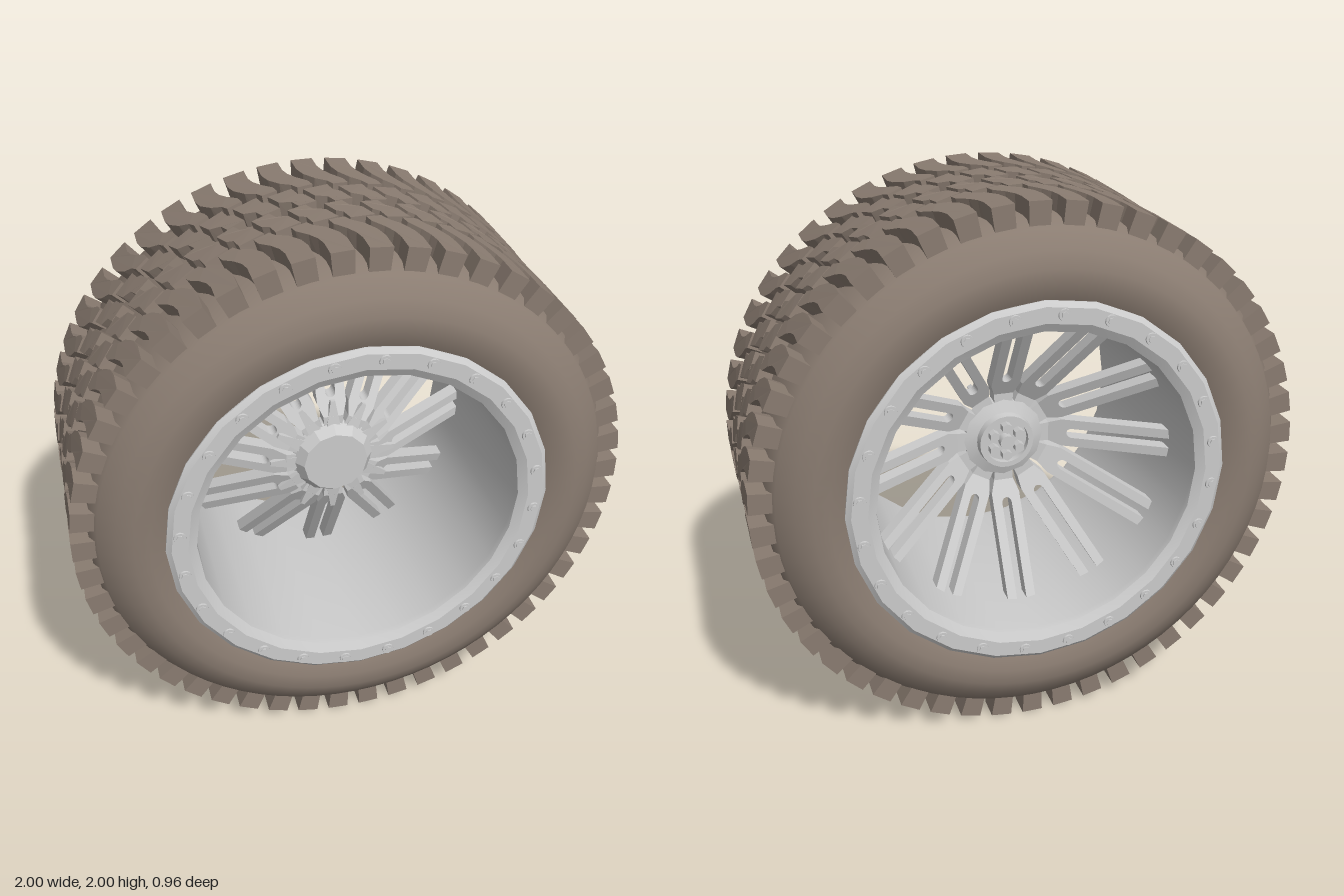
import * as THREE from 'three';
import { mergeGeometries, toCreasedNormals } from 'three/addons/utils/BufferGeometryUtils.js';

const V = (x, y) => new THREE.Vector2(x, y);

const rubber = new THREE.MeshStandardMaterial({ color: 0x8a7c71 });
const metal = new THREE.MeshStandardMaterial({ color: 0xcccccc });
const metalOpen = new THREE.MeshStandardMaterial({ color: 0xcccccc, side: THREE.DoubleSide });

// Lathe about the z axle from [radius, z] points
function axleLathe(points, segments, crease) {
  const g = new THREE.LatheGeometry(points.map(([r, z]) => V(r, z)), segments);
  g.rotateX(Math.PI / 2);
  return toCreasedNormals(g, crease);
}

// Copies of a geometry spread evenly around the axle
function ring(geometry, count, start = 0) {
  const copies = [];
  for (let i = 0; i < count; i++) {
    copies.push(geometry.clone().rotateZ(start + (i * 2 * Math.PI) / count));
  }
  return mergeGeometries(copies);
}

function addMesh(parent, name, geometry, material) {
  const mesh = new THREE.Mesh(geometry, material);
  mesh.name = name;
  parent.add(mesh);
  return mesh;
}

// Tread block: outline in (around, across), raised and bent onto the tyre
function treadBlock(outline, base, top) {
  const shape = new THREE.Shape(outline.map(([x, y]) => V(x, y)));
  const g = new THREE.ExtrudeGeometry(shape, { depth: top - base, bevelEnabled: false });
  g.rotateX(-Math.PI / 2);
  const p = g.attributes.position;
  for (let i = 0; i < p.count; i++) {
    const r = base + p.getY(i);
    const a = p.getX(i);
    p.setXY(i, r * Math.sin(a), r * Math.cos(a));
  }
  g.computeVertexNormals();
  return g;
}

function createTyre() {
  const tyre = new THREE.Group();
  tyre.name = 'tyre';

  // Carcass with bulged sidewalls
  const half = [[0.65, 0.43], [0.69, 0.452], [0.74, 0.467], [0.795, 0.47], [0.85, 0.443],
    [0.91, 0.4], [0.935, 0.36], [0.945, 0.2]];
  const profile = [...half.map(([r, z]) => [r, -z]), ...half.slice().reverse()];
  addMesh(tyre, 'carcass', axleLathe(profile, 72, 0.8), rubber);

  // Curved shoulder lugs and zigzag centre blocks, turned half round for the other side
  const count = 50;
  const pitch = (2 * Math.PI) / count;
  const lug = treadBlock([[-0.042, 0.388], [-0.042, 0.3], [-0.03, 0.25], [0.0, 0.2], [0.035, 0.17],
    [0.05, 0.14], [0.105, 0.15], [0.098, 0.185], [0.065, 0.23], [0.045, 0.27], [0.036, 0.31],
    [0.036, 0.388]], 0.912, 0.998);
  const block = treadBlock([[-0.06, 0.125], [0.03, 0.145], [0.04, 0.095], [0.062, 0.08],
    [0.085, 0.015], [0.02, 0.0], [0.005, 0.04], [-0.035, 0.06]], 0.93, 0.995);
  [['back', 0, 0], ['front', Math.PI, pitch / 2]].forEach(([side, turn, start]) => {
    addMesh(tyre, side + 'ShoulderLugs', ring(lug.clone().rotateY(turn), count, start), rubber);
    addMesh(tyre, side + 'CentreBlocks', ring(block.clone().rotateY(turn), count, start), rubber);
  });
  return tyre;
}

function createRim() {
  const rim = new THREE.Group();
  rim.name = 'rim';

  // Barrel with a bevelled bead ring at each end
  const half = [[0.69, 0.43], [0.69, 0.455], [0.672, 0.47], [0.615, 0.47], [0.583, 0.452], [0.58, 0.43]];
  const profile = [...half, ...half.slice().reverse().map(([r, z]) => [r, -z])];
  addMesh(rim, 'barrelAndBeadRings', axleLathe(profile, 24, 0.35), metalOpen);

  // Bead ring bolts: washer and head
  const bolt = mergeGeometries([
    new THREE.CylinderGeometry(0.021, 0.023, 0.012, 12),
    new THREE.CylinderGeometry(0.013, 0.014, 0.02, 6),
  ]).rotateX(Math.PI / 2).translate(0, 0.643, 0.47);
  const bolts = toCreasedNormals(ring(bolt, 24, -0.096), 0.6);
  addMesh(rim, 'frontBolts', bolts, metal);
  addMesh(rim, 'backBolts', bolts.clone().rotateY(Math.PI), metal);
  return rim;
}

function createSpokes() {
  const spokes = new THREE.Group();
  spokes.name = 'spokes';

  // Forked spoke: one root, two bars with a round-ended slot, sloping to the back
  const s = new THREE.Shape();
  s.moveTo(-0.032, 0.11);
  s.lineTo(0.032, 0.11);
  s.lineTo(0.038, 0.18);
  s.lineTo(0.055, 0.225);
  s.lineTo(0.055, 0.585);
  s.lineTo(0.019, 0.585);
  s.lineTo(0.019, 0.26);
  s.absarc(0, 0.26, 0.019, 0, Math.PI, true);
  s.lineTo(-0.019, 0.585);
  s.lineTo(-0.055, 0.585);
  s.lineTo(-0.055, 0.225);
  s.lineTo(-0.038, 0.18);
  const fork = new THREE.ExtrudeGeometry(s, { depth: 0.06, bevelEnabled: false, curveSegments: 6 });
  const p = fork.attributes.position;
  for (let i = 0; i < p.count; i++) {
    p.setZ(i, p.getZ(i) - Math.max(0, p.getY(i) - 0.18) * 0.6);
  }
  fork.computeVertexNormals();
  addMesh(spokes, 'forkedSpokes', ring(fork, 12), metal);

  // Raised ribs at the spoke roots
  const rib = new THREE.CylinderGeometry(0.012, 0.036, 0.1, 4).rotateY(Math.PI / 4);
  rib.scale(1, 1, 0.8).translate(0, 0.19, 0.045);
  addMesh(spokes, 'rootRibs', toCreasedNormals(ring(rib, 12), 0.3), metal);
  return spokes;
}

function createHub() {
  const hub = new THREE.Group();
  hub.name = 'hub';

  // Tapered centre with a flat front and a recessed back
  addMesh(hub, 'centre', axleLathe([[0, -0.02], [0.1, -0.02], [0.155, 0.0], [0.16, 0.05],
    [0.122, 0.1], [0.112, 0.1], [0, 0.1]], 12, 0.3), metal);
  addMesh(hub, 'backCollar', axleLathe([[0.085, -0.02], [0.085, -0.045], [0.105, -0.045],
    [0.11, -0.01]], 24, 0.5), metalOpen);

  // Wheel nuts and axle end on the back
  const nut = new THREE.CylinderGeometry(0.02, 0.02, 0.035, 6)
    .rotateX(Math.PI / 2).translate(0, 0.056, -0.035);
  addMesh(hub, 'wheelNuts', toCreasedNormals(ring(nut, 6), 0.4), metal);
  const end = new THREE.CylinderGeometry(0.028, 0.028, 0.04, 12).rotateX(Math.PI / 2);
  addMesh(hub, 'axleEnd', end, metal).position.z = -0.035;
  return hub;
}

export function createModel() {
  const wheel = new THREE.Group();
  wheel.name = 'wheel';
  wheel.add(createTyre(), createRim(), createSpokes(), createHub());
  wheel.position.y = 1;
  const model = new THREE.Group();
  model.name = 'offRoadWheel';
  model.add(wheel);
  return model;
}
